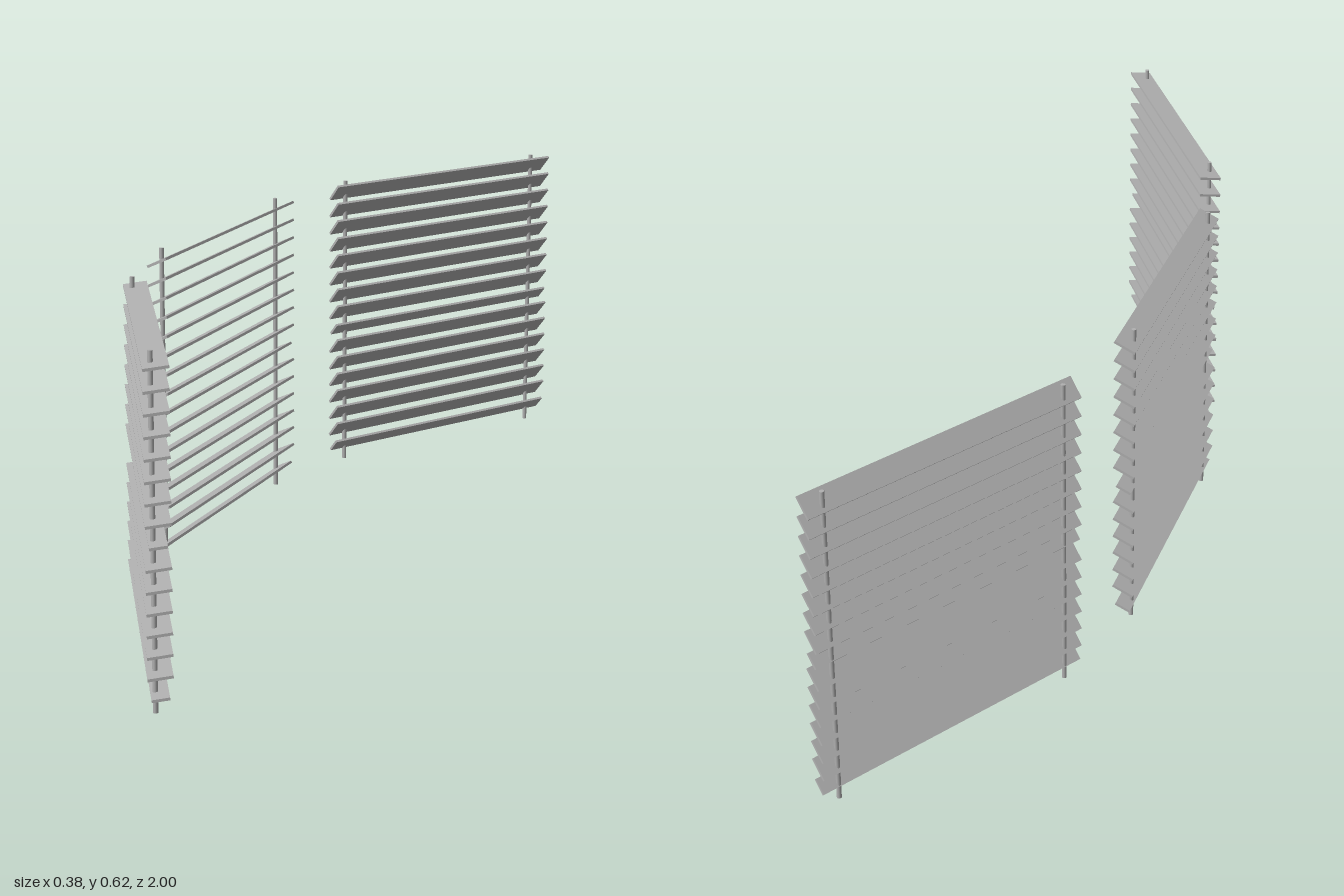
import * as THREE from 'three';

const material = new THREE.MeshStandardMaterial({ color: 0xb0b0b0 });
const SLATS = 16, PITCH = 0.0375, LENGTH = 0.602, THICK = 0.005;

// Flat slats running along z, and the round post they are threaded on
const wideSlat = new THREE.BoxGeometry(0.0435, THICK, LENGTH);
const narrowSlat = new THREE.BoxGeometry(0.031, THICK, LENGTH);
const postGeometry = new THREE.CylinderGeometry(0.0045, 0.0045, 0.62, 12);

// One louvre panel: a stack of tilted slats threaded by two posts
function louvrePanel(name, x, z, turn, tilt) {
  const panel = new THREE.Group();
  panel.name = name;
  for (let i = 0; i < SLATS; i++) {
    const narrow = i === 0 || i === 7;
    const slat = new THREE.Mesh(narrow ? narrowSlat : wideSlat, material);
    slat.name = narrow ? 'narrowSlat' : 'slat';
    slat.position.y = 0.036 + PITCH * i;
    slat.rotation.z = THREE.MathUtils.degToRad(tilt);
    panel.add(slat);
  }
  for (const side of [-1, 1]) {
    const post = new THREE.Mesh(postGeometry, material);
    post.name = 'post';
    post.position.set(-0.007, 0.31, side * 0.265);
    panel.add(post);
  }
  panel.position.set(x, 0, z);
  panel.rotation.y = THREE.MathUtils.degToRad(turn);
  return panel;
}

export function createModel() {
  const model = new THREE.Group();
  model.name = 'louvreScreens';
  // Three panels in a shallow arc, each opened to a different tilt
  model.add(
    louvrePanel('frontPanel', 0.0205, 0.729, 30, 7),
    louvrePanel('middlePanel', -0.171, -0.003, 0, 25),
    louvrePanel('backPanel', 0.0205, -0.732, -30, 48)
  );
  return model;
}
